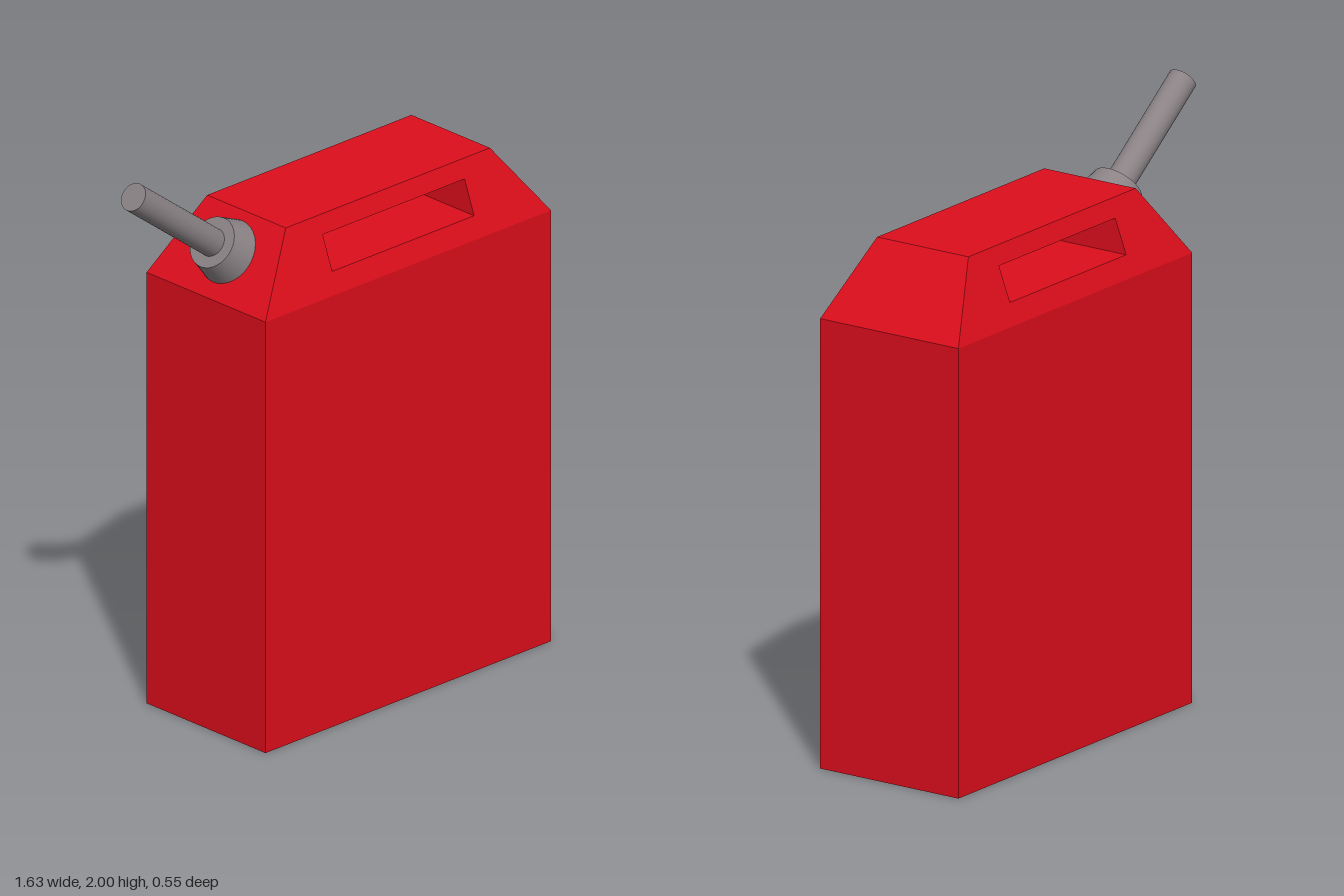
import * as THREE from 'three';

const red = new THREE.MeshStandardMaterial({ color: 0xdd0e1c });
const grey = new THREE.MeshStandardMaterial({ color: 0x8a8285 });

// Tank outline: straight walls up to the shoulder, then a tapered top
const LEFT = -0.46, RIGHT = 0.812, DEPTH = 0.274;
const SHOULDER = 1.51, TOP = 1.755, TOP_LEFT = -0.28, TOP_RIGHT = 0.63, TOP_DEPTH = 0.181;

function addMesh(parent, name, geometry, material) {
  const mesh = new THREE.Mesh(geometry, material);
  mesh.name = name;
  parent.add(mesh);
  return mesh;
}

function polygon(PathType, points) {
  return new PathType(points.map(([x, y]) => new THREE.Vector2(x, y)));
}

// Tapered top with the grip slot cut through it from front to back
function taperedTop() {
  const shape = polygon(THREE.Shape, [
    [LEFT, SHOULDER], [RIGHT, SHOULDER], [TOP_RIGHT, TOP], [TOP_LEFT, TOP],
  ]);
  shape.holes.push(polygon(THREE.Path, [
    [-0.137, 1.58], [-0.137, 1.695], [0.495, 1.695], [0.495, 1.58],
  ]));
  const geometry = new THREE.ExtrudeGeometry(shape, { depth: 2, bevelEnabled: false });
  geometry.translate(0, 0, -1);
  // Lean the front and back inwards with height
  const pos = geometry.attributes.position;
  for (let i = 0; i < pos.count; i++) {
    const t = (pos.getY(i) - SHOULDER) / (TOP - SHOULDER);
    pos.setZ(i, pos.getZ(i) * THREE.MathUtils.lerp(DEPTH, TOP_DEPTH, t));
  }
  geometry.computeVertexNormals();
  return geometry;
}

export function createModel() {
  const model = new THREE.Group();
  model.name = 'jerryCan';

  // Tank
  const tank = addMesh(model, 'tank', new THREE.BoxGeometry(RIGHT - LEFT, SHOULDER, DEPTH * 2), red);
  tank.position.set((LEFT + RIGHT) / 2, SHOULDER / 2, 0);
  addMesh(model, 'handleTop', taperedTop(), red);

  // Spout, standing square on the sloped end
  const spout = new THREE.Group();
  spout.name = 'spout';
  spout.position.set(-0.365, 1.643, 0);
  spout.rotation.z = 0.922;
  model.add(spout);

  const collar = addMesh(spout, 'spoutCollar', new THREE.CylinderGeometry(0.087, 0.111, 0.095, 32), grey);
  collar.position.y = 0.0375;
  const tube = addMesh(spout, 'spoutTube', new THREE.CylinderGeometry(0.048, 0.048, 0.526, 32), grey);
  tube.position.y = 0.263;

  return model;
}
